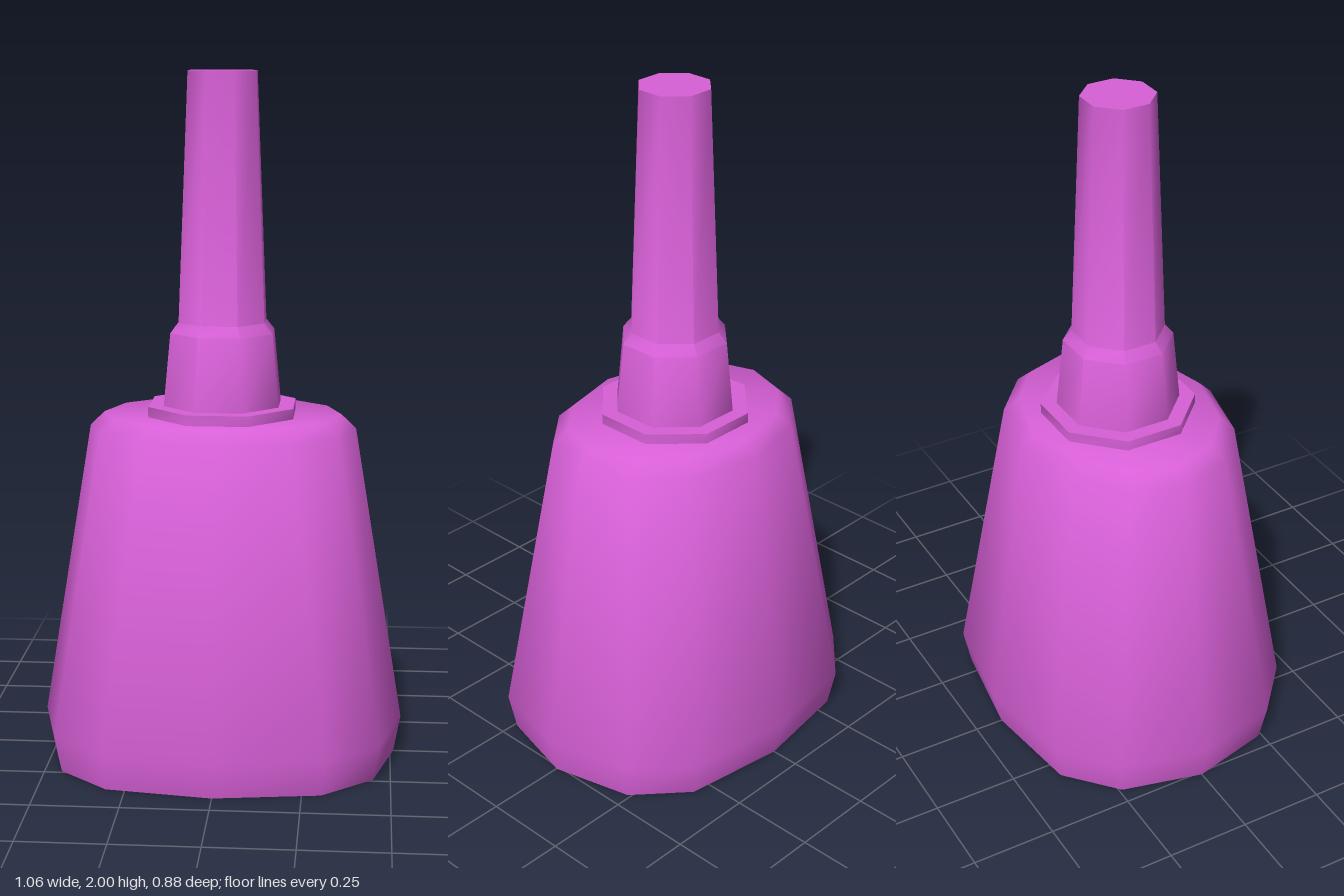
import * as THREE from 'three';
import { toCreasedNormals } from 'three/addons/utils/BufferGeometryUtils.js';

// Closed solid through rings of [x, z] points listed from +x towards +z
function loft(rings) {
  const pos = [], index = [], n = rings[0].points.length;
  for (const { y, points } of rings) for (const [x, z] of points) pos.push(x, y, z);
  for (let r = 0; r < rings.length - 1; r++) {
    for (let j = 0; j < n; j++) {
      const a = r * n + j, b = r * n + (j + 1) % n;
      index.push(a, a + n, b, b, a + n, b + n);
    }
  }
  // Bottom and top caps
  const low = pos.length / 3, high = low + 1, last = (rings.length - 1) * n;
  pos.push(0, rings[0].y, 0, 0, rings[rings.length - 1].y, 0);
  for (let j = 0; j < n; j++) {
    const k = (j + 1) % n;
    index.push(low, j, k, high, last + k, last + j);
  }
  const geometry = new THREE.BufferGeometry();
  geometry.setAttribute('position', new THREE.Float32BufferAttribute(pos, 3));
  geometry.setIndex(index);
  return toCreasedNormals(geometry, 0.9);
}

// Twelve-sided oval mirrored from one quadrant: end, two corners, side
function oval(y, a, p, q, b) {
  const [px, pz] = p, [qx, qz] = q;
  const half = [[a, 0], [px, pz], [qx, qz], [0, b], [-qx, qz], [-px, pz]];
  return { y, points: [...half, ...half.map(([x, z]) => [-x, -z])] };
}

// Octagon with flats facing the axes; w is the distance to a flat
function octagon(y, w) {
  const r = w / Math.cos(Math.PI / 8);
  const points = [];
  for (let i = 0; i < 8; i++) {
    const t = (i + 0.5) * Math.PI / 4;
    points.push([r * Math.cos(t), r * Math.sin(t)]);
  }
  return { y, points };
}

export function createModel() {
  const model = new THREE.Group();
  model.name = 'bottle';
  const material = new THREE.MeshStandardMaterial({ color: 0xd860d8 });
  const add = (name, rings) => {
    const mesh = new THREE.Mesh(loft(rings), material);
    mesh.name = name;
    model.add(mesh);
  };

  // Tapered oval bottle with bevelled foot and shoulder
  add('bottleBody', [
    oval(0, 0.51, [0.45, 0.24], [0.305, 0.37], 0.415),
    oval(0.11, 0.53, [0.467, 0.255], [0.315, 0.39], 0.44),
    oval(0.98, 0.387, [0.34, 0.155], [0.21, 0.267], 0.315),
    oval(1.02, 0.345, [0.3, 0.135], [0.185, 0.23], 0.275),
  ]);

  // Thin flange under the cap
  add('collar', [octagon(1.01, 0.208), octagon(1.05, 0.208)]);

  // Tall faceted cap with a stepped base
  add('cap', [
    octagon(1.04, 0.166),
    octagon(1.26, 0.146),
    octagon(1.29, 0.123),
    octagon(2, 0.096),
  ]);
  return model;
}
